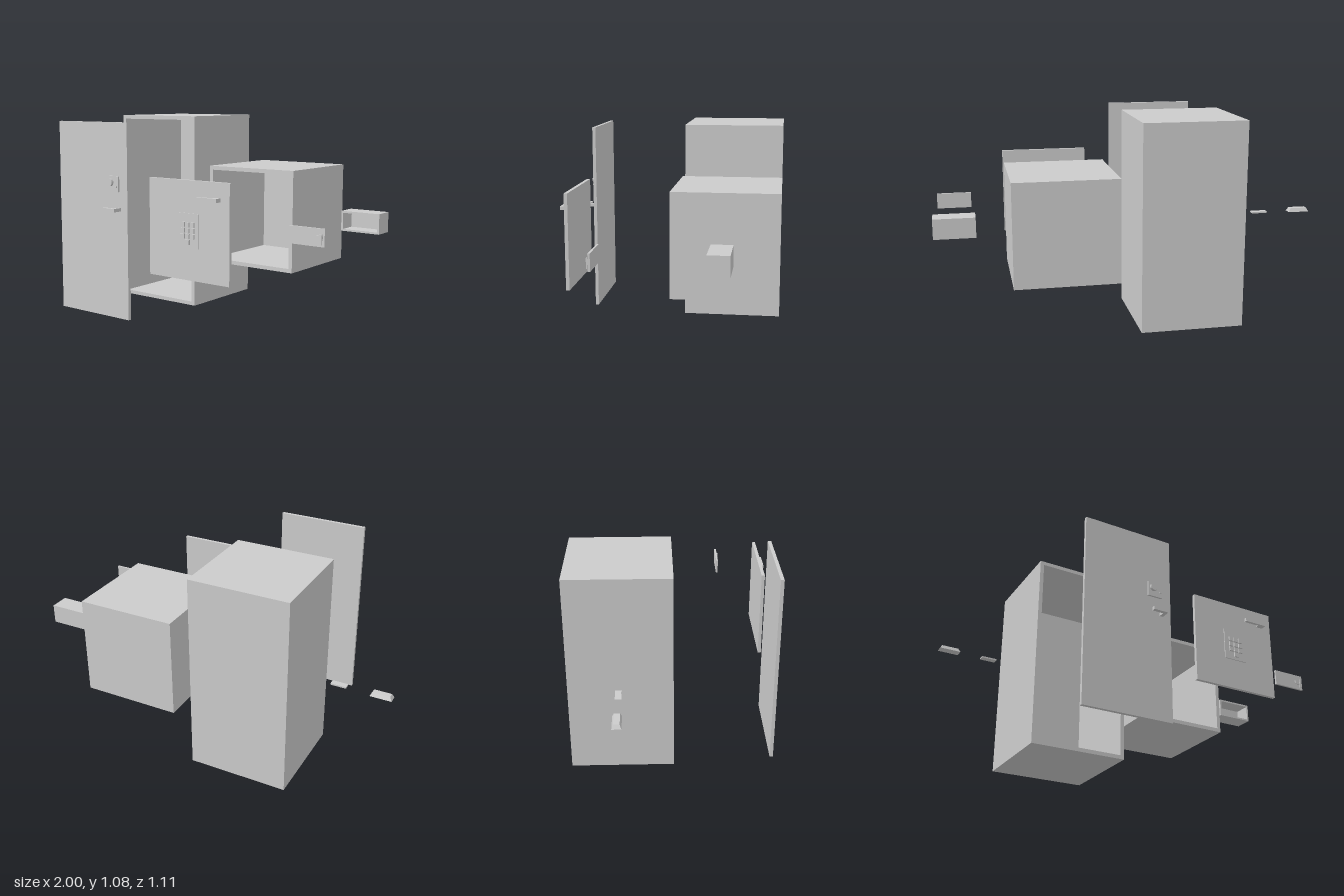
import * as THREE from 'three';

export function createModel() {
  const model = new THREE.Group();
  const material = new THREE.MeshStandardMaterial({ color: 0xcccccc, flatShading: true });

  function add(name, geometry, parent = model) {
    const mesh = new THREE.Mesh(geometry, material);
    mesh.name = name;
    parent.add(mesh);
    return mesh;
  }

  // Box given by its lower and upper bounds on each axis
  function block(name, [x0, x1], [y0, y1], [z0, z1], parent) {
    const mesh = add(name, new THREE.BoxGeometry(x1 - x0, y1 - y0, z1 - z0), parent);
    mesh.position.set((x0 + x1) / 2, (y0 + y1) / 2, (z0 + z1) / 2);
    return mesh;
  }

  function group(name) {
    const g = new THREE.Group();
    g.name = name;
    model.add(g);
    return g;
  }

  // Open-fronted shell: extruded rectangular tube with a back panel
  function cabinet(name, [x0, x1], [y0, y1], [z0, z1], wall) {
    const g = group(name);
    const rect = (Type, i) => new Type([
      new THREE.Vector2(x0 + i, y0 + i), new THREE.Vector2(x1 - i, y0 + i),
      new THREE.Vector2(x1 - i, y1 - i), new THREE.Vector2(x0 + i, y1 - i),
    ]);
    const shape = rect(THREE.Shape, 0);
    shape.holes.push(rect(THREE.Path, wall));
    const shell = new THREE.ExtrudeGeometry(shape, { depth: z1 - z0, bevelEnabled: false });
    add('shellWalls', shell, g).position.z = z0;
    block('backPanel', [x0 + wall, x1 - wall], [y0 + wall, y1 - wall], [z0, z0 + wall], g);
  }

  cabinet('tallCabinet', [-0.556, -0.021], [0, 1.075], [-0.557, -0.022], 0.021);
  cabinet('cubeCabinet', [0.086, 0.62], [0.273, 0.807], [-0.557, -0.022], 0.021);
  cabinet('smallCabinet', [0.786, 1], [0.488, 0.593], [-0.342, -0.236], 0.01);

  // Tall door with dial lock and handle
  const tallDoor = group('tallDoor');
  block('doorPanel', [-0.538, -0.045], [0.024, 1.053], [0.487, 0.505], tallDoor);
  block('lockPlate', [-0.181, -0.1], [0.695, 0.777], [0.505, 0.515], tallDoor);
  const dial = add('lockDial', new THREE.CylinderGeometry(0.02, 0.02, 0.014, 24), tallDoor);
  dial.rotation.x = Math.PI / 2;
  dial.position.set(-0.152, 0.744, 0.522);
  block('lockButton', [-0.116, -0.108], [0.718, 0.726], [0.515, 0.521], tallDoor);
  block('handlePost', [-0.11, -0.091], [0.595, 0.613], [0.505, 0.538], tallDoor);
  block('handleGrip', [-0.172, -0.091], [0.595, 0.613], [0.538, 0.557], tallDoor);

  // Square door with keypad and handle
  const cubeDoor = group('cubeDoor');
  block('doorPanel', [0.107, 0.6], [0.293, 0.785], [0.487, 0.505], cubeDoor);
  block('keypadPlate', [0.287, 0.42], [0.455, 0.625], [0.505, 0.51], cubeDoor);
  for (let row = 0; row < 4; row++) {
    for (let col = 0; col < 3; col++) {
      if (row === 3 && col !== 1) continue;
      const x = 0.355 + (col - 1) * 0.029, y = 0.57 - row * 0.029;
      block('keypadKey', [x - 0.012, x + 0.012], [y - 0.012, y + 0.012], [0.51, 0.518], cubeDoor);
    }
  }
  block('handlePost', [0.507, 0.546], [0.692, 0.711], [0.505, 0.523], cubeDoor);
  block('handleGrip', [0.417, 0.546], [0.692, 0.711], [0.523, 0.538], cubeDoor);

  // Small door with upright handle
  const smallDoor = group('smallDoor');
  block('doorPanel', [0.796, 0.987], [0.497, 0.583], [0.287, 0.298], smallDoor);
  block('handlePost', [0.935, 0.977], [0.527, 0.549], [0.298, 0.303], smallDoor);
  block('handleGrip', [0.964, 0.977], [0.508, 0.558], [0.303, 0.308], smallDoor);

  // Tapered ingot: box with its top corners pulled inward
  const ingot = new THREE.BoxGeometry(0.111, 0.02, 0.046);
  const pos = ingot.attributes.position;
  for (let i = 0; i < pos.count; i++) {
    if (pos.getY(i) > 0) {
      pos.setX(i, pos.getX(i) - Math.sign(pos.getX(i)) * 0.011);
      pos.setZ(i, pos.getZ(i) - Math.sign(pos.getZ(i)) * 0.008);
    }
  }
  ingot.computeVertexNormals();
  add('ingot', ingot).position.set(-0.944, 0.544, -0.293);

  // Thin flat slab
  block('flatSlab', [-0.764, -0.682], [0.535, 0.543], [-0.309, -0.277]);

  return model;
}
